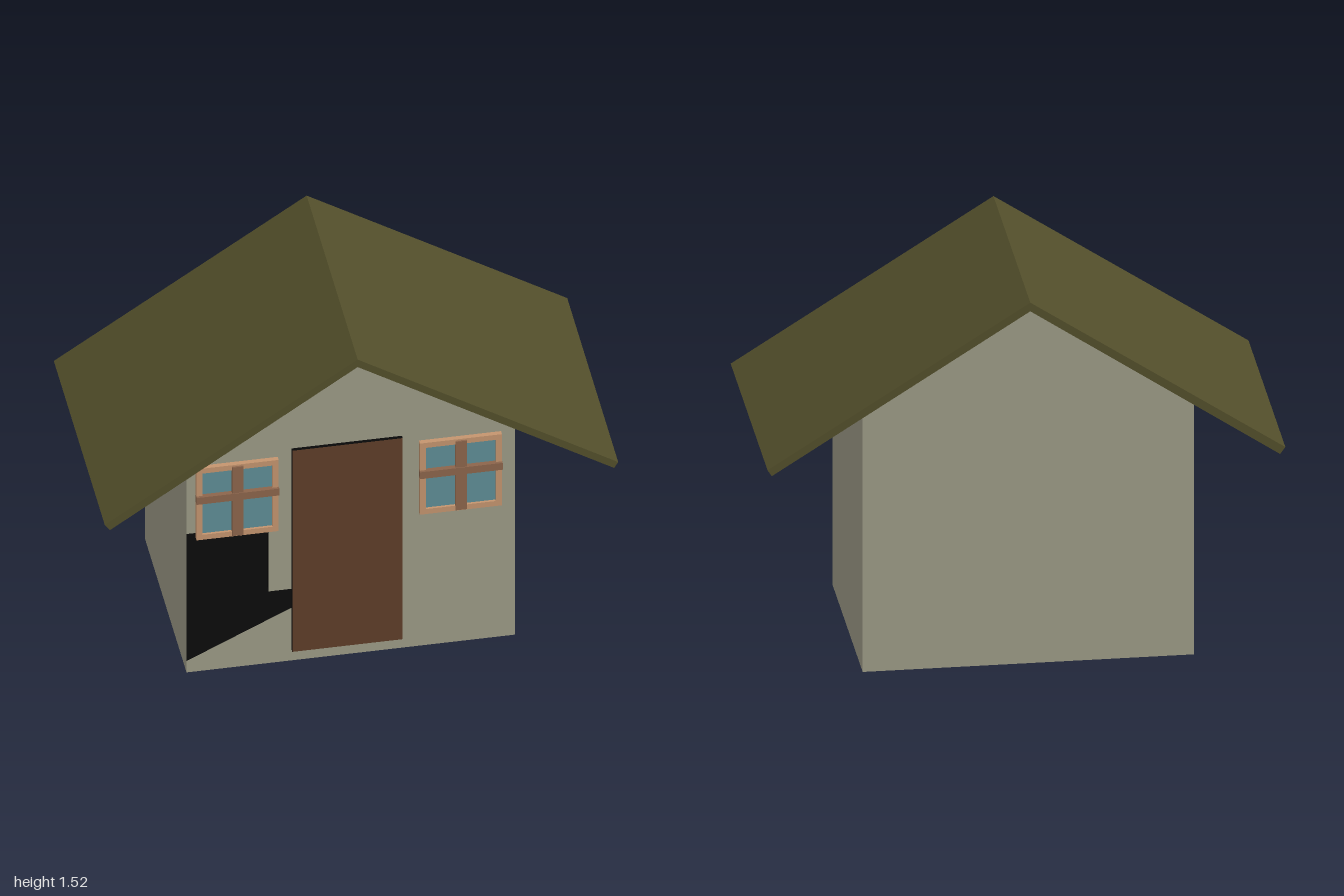
import * as THREE from 'three';

const mat = (color, side = THREE.FrontSide) =>
  new THREE.MeshStandardMaterial({ color, side, flatShading: true });

const shapeOf = (pts) => new THREE.Shape(pts.map(([x, y]) => new THREE.Vector2(x, y)));

export function createModel() {
  const house = new THREE.Group();
  house.name = 'house';

  const wallMat = mat(0x9c9a86, THREE.DoubleSide);
  const roofMat = mat(0x524e2a);
  const blackMat = mat(0x080808);
  const floorMat = mat(0x080808, THREE.DoubleSide);
  const doorMat = mat(0x5e3e29);
  const frameMat = mat(0xc4946e);
  const barMat = mat(0x8c654b);
  const glassMat = mat(0x5f8d95);

  const add = (name, geometry, material, x = 0, y = 0, z = 0, parent = house) => {
    const mesh = new THREE.Mesh(geometry, material);
    mesh.name = name;
    mesh.position.set(x, y, z);
    parent.add(mesh);
    return mesh;
  };

  // Shell dimensions
  const L = -0.655, R = 0.625, F = 0.385, B = -0.47;
  const leftEave = 1.06, rightEave = 1.085, ridgeX = -0.015, ridge = 1.487;
  const depth = F - B, midZ = (F + B) / 2, midX = (L + R) / 2;
  const gable = [[L, 0], [R, 0], [R, rightEave], [ridgeX, ridge], [L, leftEave]];

  // Front wall, open on one side between the eave, the low opening and the base
  const hole = { x0: -0.565, x1: -0.335, y0: 0.345, y1: 0.645 };
  add('frontWall', new THREE.ShapeGeometry(shapeOf([
    ...gable, [hole.x0, hole.y1], [hole.x1, hole.y1], [hole.x1, hole.y0],
    [-0.06, hole.y0], [L, 0.055],
  ])), wallMat, 0, 0, F);
  add('backWall', new THREE.ShapeGeometry(shapeOf(gable)), wallMat, 0, 0, B);

  // Side walls and floor
  add('rightWall', new THREE.PlaneGeometry(depth, leftEave), wallMat, L, leftEave / 2, midZ)
    .rotation.y = -Math.PI / 2;
  add('leftWall', new THREE.PlaneGeometry(depth, rightEave), wallMat, R, rightEave / 2, midZ)
    .rotation.y = Math.PI / 2;
  add('floor', new THREE.PlaneGeometry(R - L, depth), floorMat, midX, 0, midZ)
    .rotation.x = Math.PI / 2;

  // Inward-facing rim of the low opening
  const rim = 0.03, rimZ = F - rim / 2;
  const hw = hole.x1 - hole.x0, hh = hole.y1 - hole.y0;
  const cx = (hole.x0 + hole.x1) / 2, cy = (hole.y0 + hole.y1) / 2;
  for (const s of [-1, 1]) {
    add('openingSideRim', new THREE.PlaneGeometry(rim, hh), blackMat, cx + s * hw / 2, cy, rimZ)
      .rotation.y = -s * Math.PI / 2;
    add('openingLevelRim', new THREE.PlaneGeometry(hw, rim), blackMat, cx, cy + s * hh / 2, rimZ)
      .rotation.x = s * Math.PI / 2;
  }

  // Roof: a folded slab with square-cut eaves
  const roofShape = shapeOf([
    [-0.98, 0.838], [ridgeX, 1.487], [0.984, 0.858],
    [1, 0.884], [ridgeX, 1.523], [-1, 0.866],
  ]);
  add('roof', new THREE.ExtrudeGeometry(roofShape, { depth: 1.05, bevelEnabled: false }),
    roofMat, 0, 0, -0.525);

  // Door: dark edges with a brown front
  const doorSides = [blackMat, blackMat, blackMat, blackMat, doorMat, blackMat];
  add('door', new THREE.BoxGeometry(0.43, 0.97, 0.016), doorSides, -0.031, 0.537, F + 0.007);

  // Windows: frame, pane and crossed bars
  const w = 0.32, h = 0.343, border = 0.024;
  const frameShape = shapeOf([[-w / 2, -h / 2], [w / 2, -h / 2], [w / 2, h / 2], [-w / 2, h / 2]]);
  const iw = w / 2 - border, ih = h / 2 - border;
  frameShape.holes.push(shapeOf([[-iw, -ih], [-iw, ih], [iw, ih], [iw, -ih]]));
  const frameGeo = new THREE.ExtrudeGeometry(frameShape, { depth: 0.02, bevelEnabled: false });

  for (const [name, x] of [['rightWindow', -0.46], ['leftWindow', 0.41]]) {
    const win = new THREE.Group();
    win.name = name;
    win.position.set(x, 0.818, F);
    add('windowFrame', frameGeo, frameMat, 0, 0, 0, win);
    add('windowPane', new THREE.BoxGeometry(iw * 2, ih * 2, 0.008), glassMat, 0, 0, 0.006, win);
    add('uprightBar', new THREE.BoxGeometry(0.044, 0.33, 0.02), barMat, 0, 0, 0.017, win);
    add('crossBar', new THREE.BoxGeometry(0.322, 0.033, 0.022), barMat, 0, 0.024, 0.019, win);
    house.add(win);
  }

  return house;
}
